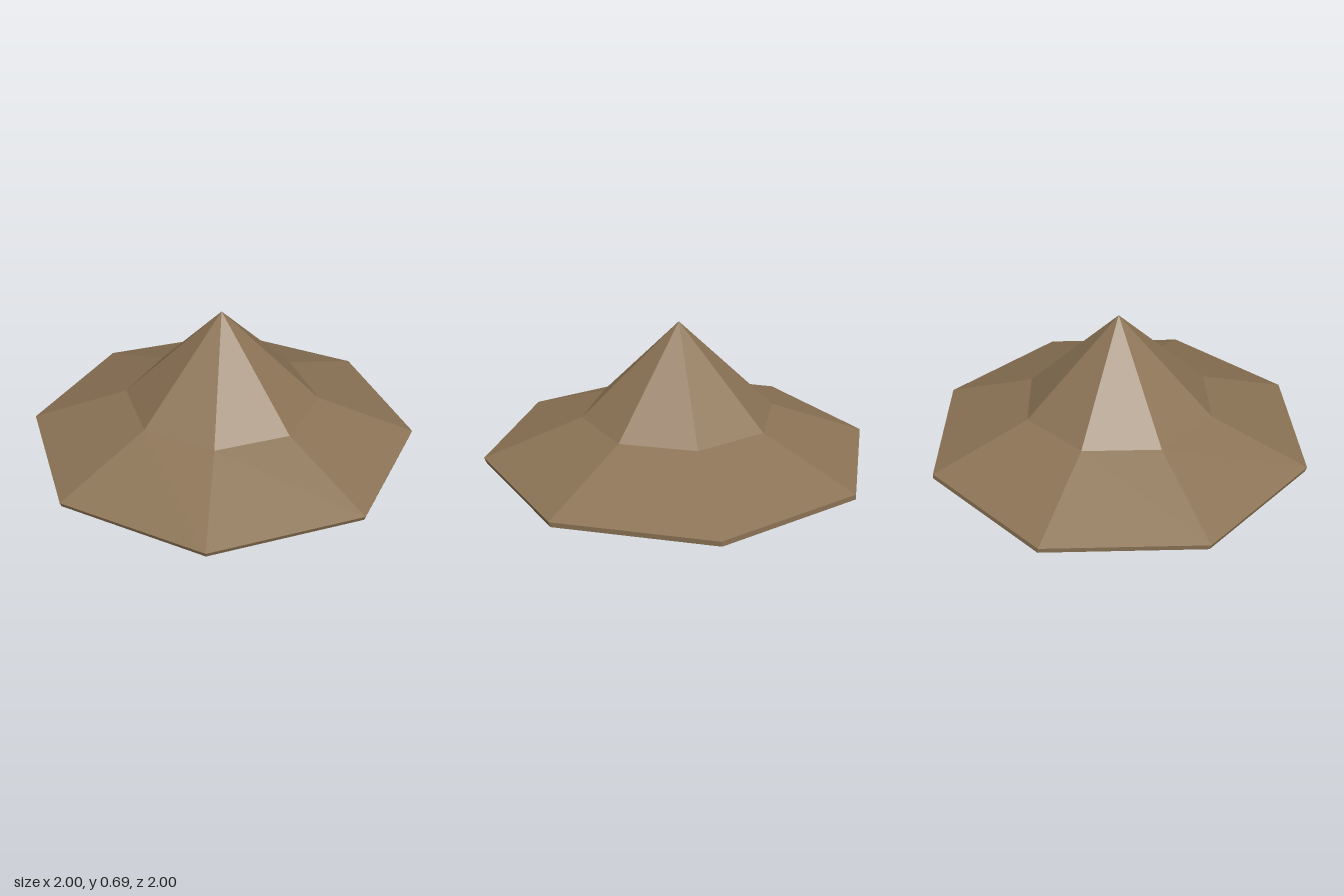
import * as THREE from 'three';

const SIDES = 8;

// Turns a [radius, height] profile into a faceted eight-sided shell.
function facetedLathe(profile) {
  const points = profile.map(([r, y]) => new THREE.Vector2(r, y));
  const geometry = new THREE.LatheGeometry(points, SIDES);
  // The lowest edge of the rim sits slightly off centre, to the back and right.
  const pos = geometry.attributes.position;
  for (let i = 0; i < pos.count; i++) {
    if (pos.getY(i) < 0.001) {
      pos.setX(i, pos.getX(i) - 0.004);
      pos.setZ(i, pos.getZ(i) - 0.004);
    }
  }
  const flat = geometry.toNonIndexed();
  flat.computeVertexNormals();
  return flat;
}

export function createModel() {
  const straw = new THREE.MeshStandardMaterial({ color: 0x8b7355, flatShading: true });
  straw.name = 'straw brown';

  const hat = new THREE.Group();
  hat.name = 'conicalHat';

  const parts = {
    // Steep pointed top
    crown: [[0.5, 0.21], [0, 0.69]],
    // Shallow outer slope
    brim: [[1, 0.025], [0.5, 0.21]],
    // Thin edge band and the underside of the lip
    rim: [[0.8, 0.015], [0.9, 0], [0.995, 0], [1, 0.025]],
    // Hollow underside, facing inward
    lining: [[0, 0.665], [0.48, 0.196], [0.8, 0.015]],
  };

  for (const [name, profile] of Object.entries(parts)) {
    const mesh = new THREE.Mesh(facetedLathe(profile), straw);
    mesh.name = name;
    hat.add(mesh);
  }
  return hat;
}
